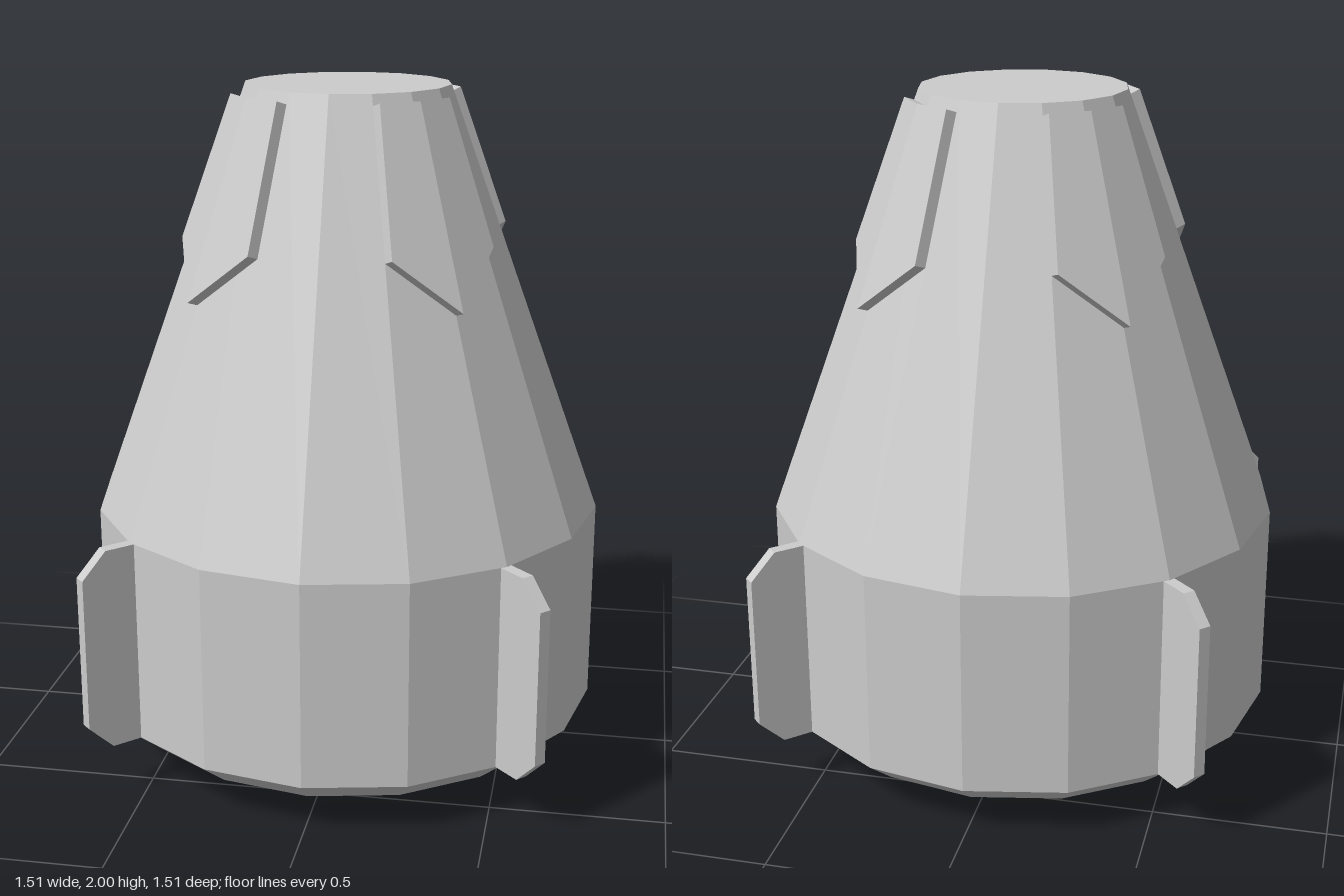
import * as THREE from 'three';

const SIDES = 16;
const STEP = (Math.PI * 2) / SIDES;
const BASE_R = 0.755, TOP_R = 0.3, SHOULDER_Y = 0.76, TOP_Y = 2;

// Radius of the cone's ridges at height y
const coneRadius = (y) =>
  THREE.MathUtils.mapLinear(y, SHOULDER_Y, TOP_Y, BASE_R, TOP_R);

// Faceted capsule hull, closed at both ends
function hullGeometry() {
  const profile = [
    [0, 0], [0.33, 0], [0.665, 0.08], [BASE_R, 0.155],
    [BASE_R, SHOULDER_Y], [TOP_R, TOP_Y], [0, TOP_Y],
  ].map(([r, y]) => new THREE.Vector2(r, y));
  return new THREE.LatheGeometry(profile, SIDES);
}

// Pointed plate wrapped over two facets of the cone, facing +z
function plateGeometry() {
  const geo = new THREE.BoxGeometry(2, 1, 1, 2, 1, 1);
  const pos = geo.attributes.position;
  for (let i = 0; i < pos.count; i++) {
    const column = Math.round(pos.getX(i)); // -1, 0 or 1
    const isOuter = pos.getZ(i) > 0;
    const y = pos.getY(i) > 0 ? 1.967 : column === 0 ? 1.415 : 1.565;
    const r = coneRadius(y);
    const angle = column * STEP;
    pos.setXYZ(
      i,
      r * Math.sin(angle),
      y + (isOuter ? 0.012 : 0),
      r * Math.cos(angle) + (isOuter ? 0.031 : -0.005)
    );
  }
  geo.computeVertexNormals();
  return geo;
}

// Upright fin with clipped outer corners, pointing along +x
function finGeometry() {
  const inner = 0.7, outer = 0.916, low = 0.155, high = 0.76, cut = 0.075;
  const shape = new THREE.Shape([
    [inner, low], [outer - cut, low], [outer, low + cut],
    [outer, high - cut], [outer - cut, high], [inner, high],
  ].map(([x, y]) => new THREE.Vector2(x, y)));
  const depth = 0.036;
  return new THREE.ExtrudeGeometry(shape, { depth, bevelEnabled: false })
    .translate(0, 0, -depth / 2);
}

export function createModel() {
  const model = new THREE.Group();
  model.name = 'capsule';
  const material = new THREE.MeshStandardMaterial({ color: 0xcccccc, flatShading: true });

  const add = (name, geometry, turn = 0) => {
    const mesh = new THREE.Mesh(geometry, material);
    mesh.name = name;
    mesh.rotation.y = turn;
    model.add(mesh);
  };

  add('hull', hullGeometry());

  // One plate and one fin on each diagonal
  const plate = plateGeometry();
  const fin = finGeometry();
  for (let i = 0; i < 4; i++) {
    const turn = Math.PI / 4 + (i * Math.PI) / 2;
    add(`conePlate${i + 1}`, plate, turn);
    add(`sideFin${i + 1}`, fin, turn);
  }
  return model;
}
